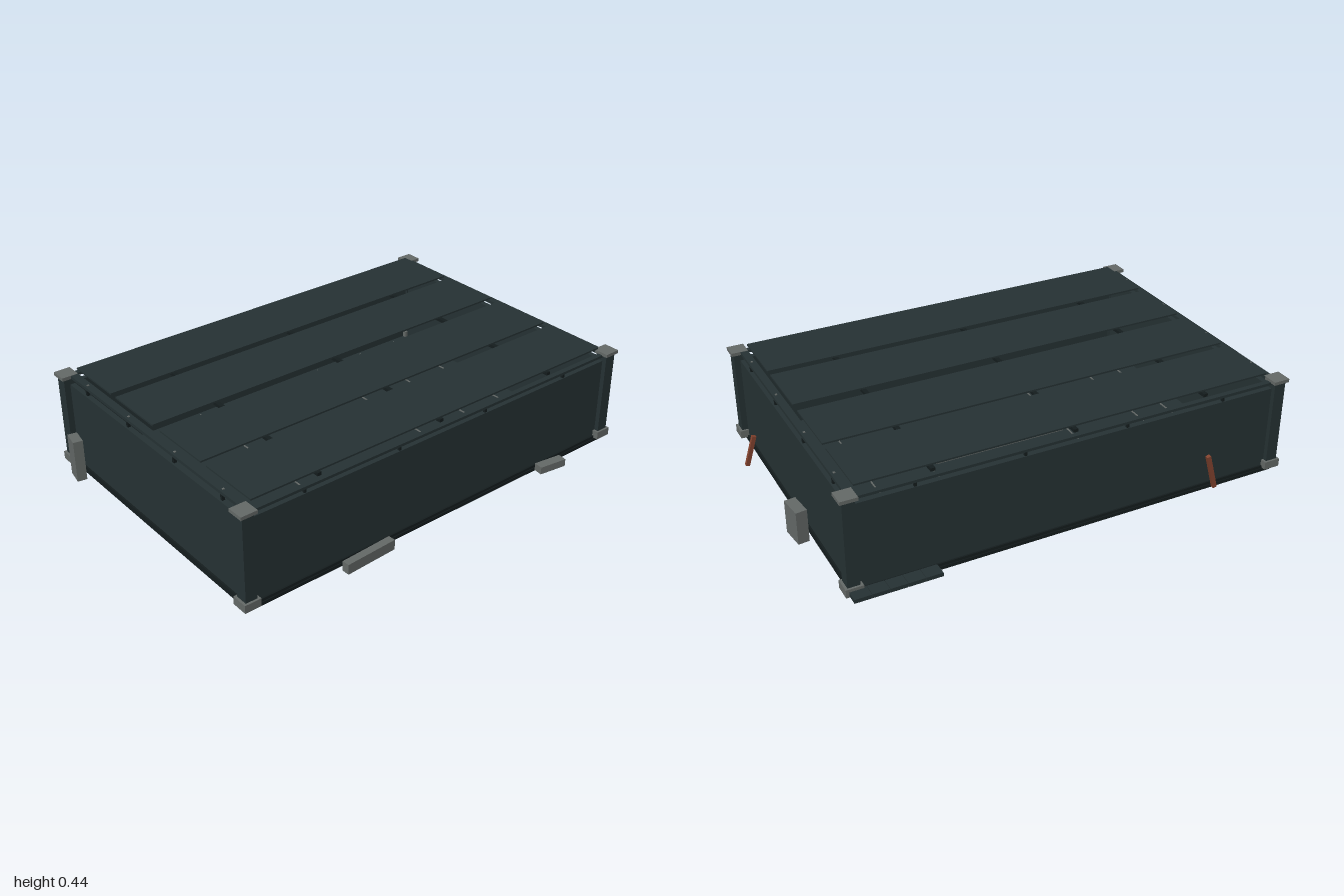
import * as THREE from 'three';

const material = (name, color) => {
  const m = new THREE.MeshStandardMaterial({ color });
  m.name = name;
  return m;
};

export function createModel() {
  const panel = material('dark panel', 0x263234);
  const trim = material('black trim', 0x151d1e);
  const metal = material('worn grey metal', 0x656a68);
  const rust = material('rust', 0x84442f);

  const model = new THREE.Group();
  model.name = 'slattedContainer';
  const body = new THREE.Group();
  body.name = 'body';
  body.position.set(-0.006, 0, -0.007);
  model.add(body);

  // Box given by its size, centre in x and z, and lowest height
  const box = (parent, name, mat, [w, h, d], [x, y, z], turn = 0, lean = 0) => {
    const mesh = new THREE.Mesh(new THREE.BoxGeometry(w, h, d), mat);
    mesh.name = name;
    mesh.position.set(x, y + h / 2, z);
    mesh.rotation.set(0, turn, lean);
    parent.add(mesh);
    return mesh;
  };

  // Floor slab with thin inlaid seams
  box(body, 'baseTrim', trim, [1.84, 0.014, 1.258], [0, 0, 0]);
  box(body, 'floor', panel, [1.81, 0.008, 1.225], [0, 0.014, 0]);
  for (const x of [-0.8, -0.65, -0.32, 0.33, 0.59, 0.8])
    box(body, 'floorSeam', metal, [0.005, 0.004, 1.16], [x, 0.022, 0]);
  box(body, 'floorCentreSeam', metal, [0.6, 0.004, 0.006], [0, 0.022, 0.004]);

  for (const s of [-1, 1]) {
    // Walls, with a dark lower sill
    box(body, 'longWall', panel, [1.78, 0.362, 0.022], [0, 0.018, s * 0.608]);
    box(body, 'sideWall', panel, [0.022, 0.362, 1.17], [s * 0.902, 0.018, 0]);
    box(body, 'longSill', trim, [1.78, 0.012, 0.012], [0, 0.014, s * 0.62]);
    box(body, 'sideSill', trim, [0.012, 0.012, 1.17], [s * 0.914, 0.014, 0]);

    // Top rails on short stubs
    box(body, 'longRail', panel, [1.78, 0.011, 0.022], [0, 0.4, s * 0.612]);
    box(body, 'sideRail', panel, [0.032, 0.013, 1.17], [s * 0.894, 0.408, 0]);
    for (const x of [-0.655, -0.218, 0.218, 0.655])
      box(body, 'railStub', trim, [0.01, 0.024, 0.012], [x, 0.379, s * 0.61]);
    for (const z of [-0.464, -0.156, 0.164, 0.47]) {
      box(body, 'railStub', trim, [0.012, 0.03, 0.012], [s * 0.9, 0.379, z]);
      box(body, 'railStud', metal, [0.008, 0.004, 0.008], [s * 0.896, 0.42, z]);
    }

    // Corner posts with metal caps and feet
    for (const t of [-1, 1]) {
      const [x, z] = [s * 0.913, t * 0.612];
      box(body, 'cornerPost', panel, [0.05, 0.4, 0.052], [x, 0.016, z]);
      box(body, 'postCap', metal, [0.07, 0.014, 0.07], [x, 0.408, z]);
      box(body, 'postFoot', metal, [0.07, 0.034, 0.07], [x, 0.017, z]);
    }
  }

  // Cross beams below the roof slats
  for (const x of [-0.58, 0, 0.58])
    box(body, 'roofBeam', trim, [0.018, 0.013, 1.2], [x, 0.412, 0]);
  for (const z of [-0.457, -0.155, 0.164, 0.467])
    box(body, 'roofSlat', panel, [1.748, 0.007, 0.268], [0, 0.433, z]);

  // Loose blocks around the outside
  box(model, 'rightBlock', metal, [0.046, 0.14, 0.101], [0.967, 0.02, -0.224], 0.105);
  box(model, 'leftBlock', metal, [0.04, 0.182, 0.073], [-0.975, 0.02, -0.49], -0.18);
  box(model, 'frontSlab', metal, [0.23, 0.043, 0.032], [-0.426, 0.02, 0.676], 0.047);
  box(model, 'frontSlab', metal, [0.125, 0.032, 0.04], [0.548, 0.02, 0.668], -0.14);

  // Low step made of planks at the back
  for (let i = 0; i < 5; i++)
    box(model, 'stepPlank', panel, [0.067, 0.016, 0.056], [0.62 + i * 0.069, 0.023, -0.674]);

  // Rusty bars leaning on the walls
  box(model, 'leaningBar', rust, [0.017, 0.135, 0.016], [0.967, 0.021, 0.342], 0, 0.3);
  box(model, 'leaningBar', rust, [0.017, 0.158, 0.016], [-0.587, 0.034, -0.683], 0, -0.27);

  return model;
}
